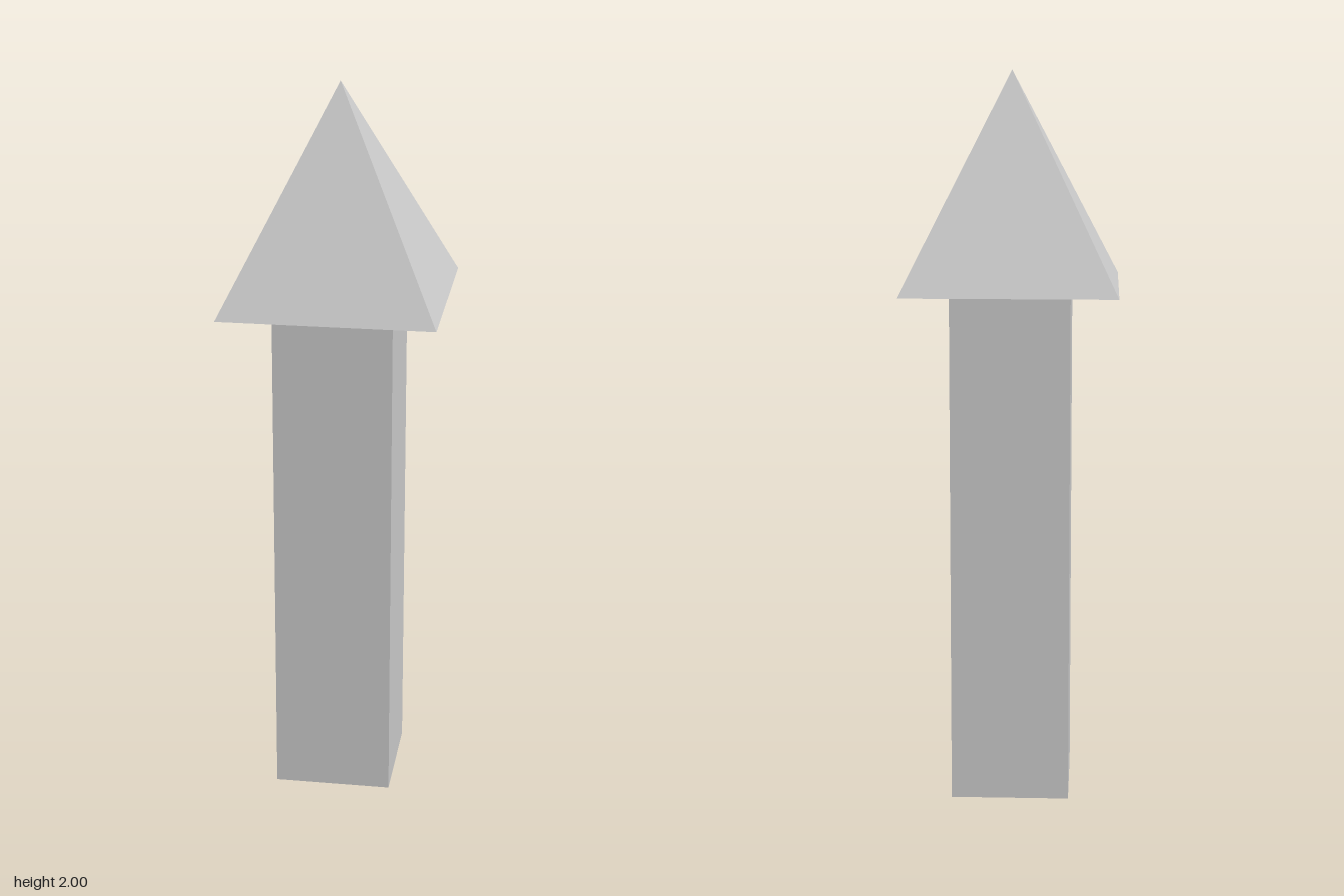
import * as THREE from 'three';

export function createModel() {
  const group = new THREE.Group();
  const material = new THREE.MeshStandardMaterial({ color: 0xcccccc, flatShading: true });
  const shaftWidth = 0.324, shaftHeight = 1.42, capHalf = 0.29, capHeight = 2 - shaftHeight;

  // Square post
  const shaft = new THREE.Mesh(new THREE.BoxGeometry(shaftWidth, shaftHeight, shaftWidth), material);
  shaft.name = 'shaft';
  shaft.position.y = shaftHeight / 2;
  group.add(shaft);

  // Four-sided pyramid with a closed underside, turned so its faces align with the post
  const capGeometry = new THREE.ConeGeometry(capHalf * Math.SQRT2, capHeight, 4).rotateY(Math.PI / 4);
  const cap = new THREE.Mesh(capGeometry, material);
  cap.name = 'pyramidCap';
  cap.position.y = shaftHeight + capHeight / 2;
  group.add(cap);

  return group;
}
